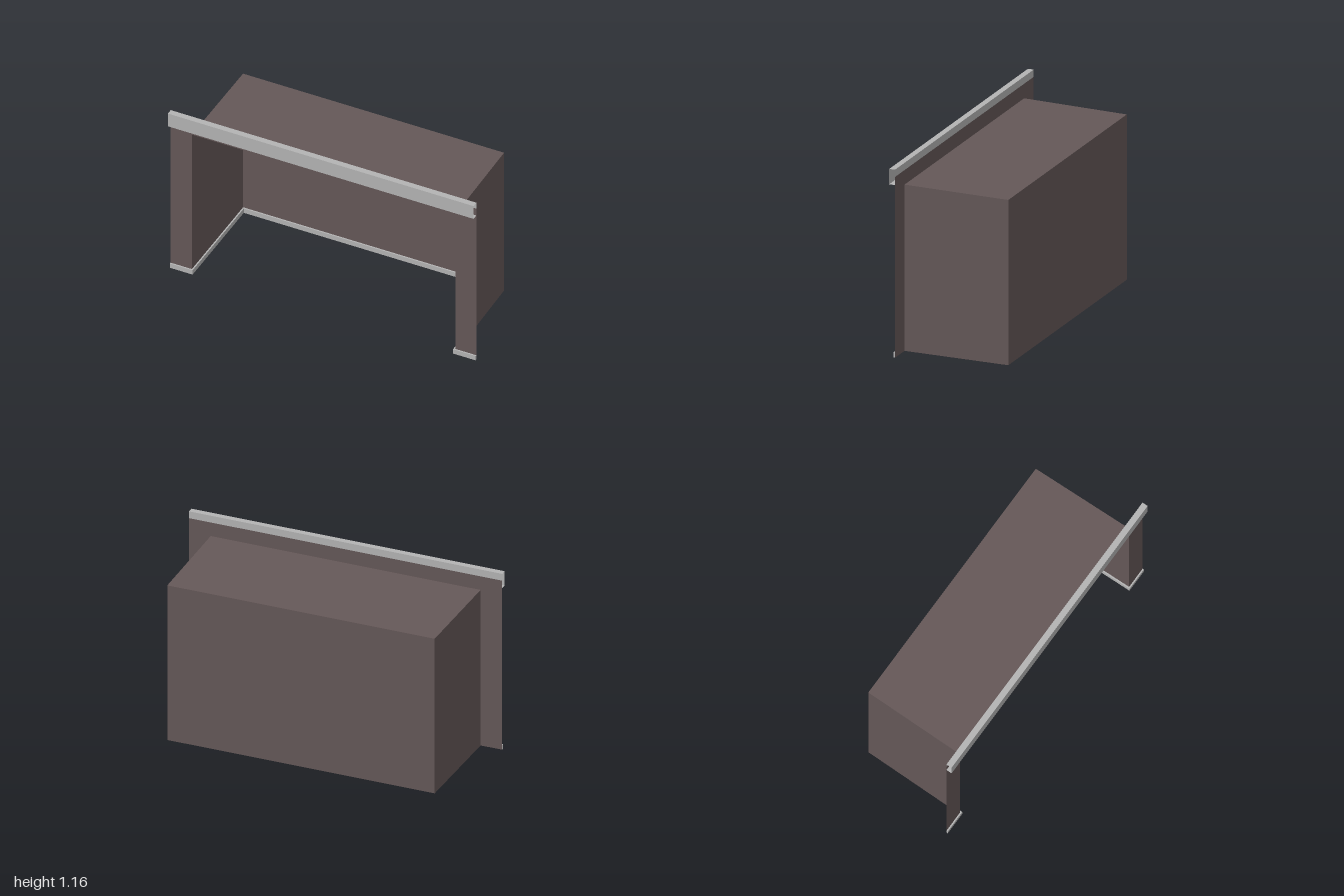
import * as THREE from 'three';

const FRONT = 0.313, BACK = -0.35;   // depth of the alcove
const XF = 0.862, XB = 0.854;        // half widths at the mouth and the back
const YF = 1.03, YB = 1.024;         // ceiling heights at the mouth and the back
const WALL_TOP = 1.12;

// Open sheet made of four-cornered faces
function sheet(name, quads, material) {
  const pos = [];
  for (const [a, b, c, d] of quads) pos.push(...a, ...b, ...c, ...a, ...c, ...d);
  const g = new THREE.BufferGeometry();
  g.setAttribute('position', new THREE.Float32BufferAttribute(pos, 3));
  g.computeVertexNormals();
  const mesh = new THREE.Mesh(g, material);
  mesh.name = name;
  return mesh;
}

export function createModel() {
  const group = new THREE.Group();
  group.name = 'alcove';
  const wall = new THREE.MeshStandardMaterial({ color: 0x655858, side: THREE.DoubleSide });
  wall.name = 'brown wall';
  const trim = new THREE.MeshStandardMaterial({ color: 0xb4b4b4, side: THREE.DoubleSide });
  trim.name = 'grey trim';

  // Front wall around the opening
  group.add(sheet('frontHeader', [
    [[-XF, YF, FRONT], [XF, YF, FRONT], [XF, WALL_TOP, FRONT], [-XF, WALL_TOP, FRONT]],
  ], wall));
  group.add(sheet('frontPierLeft', [
    [[XF, 0, FRONT], [1, 0, FRONT], [1, WALL_TOP, FRONT], [XF, WALL_TOP, FRONT]],
  ], wall));
  group.add(sheet('frontPierRight', [
    [[-1, 0, FRONT], [-XF, 0, FRONT], [-XF, WALL_TOP, FRONT], [-1, WALL_TOP, FRONT]],
  ], wall));

  // Recess: back, sides and ceiling, slightly tapered
  group.add(sheet('recessBack', [
    [[-XB, 0, BACK], [XB, 0, BACK], [XB, YB, BACK], [-XB, YB, BACK]],
  ], wall));
  group.add(sheet('recessLeft', [
    [[XB, 0, BACK], [XF, 0, FRONT], [XF, YF, FRONT], [XB, YB, BACK]],
  ], wall));
  group.add(sheet('recessRight', [
    [[-XF, 0, FRONT], [-XB, 0, BACK], [-XB, YB, BACK], [-XF, YF, FRONT]],
  ], wall));
  group.add(sheet('recessCeiling', [
    [[-XB, YB, BACK], [XB, YB, BACK], [XF, YF, FRONT], [-XF, YF, FRONT]],
  ], wall));

  // Skirting follows the wall line in plan, mirrored about x = 0
  const e = 0.001, t = 0.01;
  const outer = [[1, FRONT + e], [XF - e, FRONT + e], [XB - e, BACK + e]];
  const inner = [[XB - t, BACK + t], [XF - t, FRONT + t], [1, FRONT + t]];
  const mirror = (pts) => pts.map(([x, z]) => [-x, z]).reverse();
  const plan = [...outer, ...mirror(outer), ...mirror(inner), ...inner];
  const skirtingGeo = new THREE.ExtrudeGeometry(
    new THREE.Shape(plan.map(([x, z]) => new THREE.Vector2(x, -z))),
    { depth: 0.032, bevelEnabled: false });
  skirtingGeo.rotateX(-Math.PI / 2);
  const skirting = new THREE.Mesh(skirtingGeo, trim);
  skirting.name = 'skirting';
  group.add(skirting);

  // Top rail: hollow box with open ends; the wall closes its lower back
  const profile = [[WALL_TOP, FRONT], [1.165, FRONT], [1.165, 0.35], [1.07, 0.35], [1.07, FRONT]];
  const railFaces = [];
  for (let i = 0; i < profile.length - 1; i++) {
    const [y0, z0] = profile[i], [y1, z1] = profile[i + 1];
    railFaces.push([[-1, y0, z0], [-1, y1, z1], [1, y1, z1], [1, y0, z0]]);
  }
  group.add(sheet('topRail', railFaces, trim));

  return group;
}
